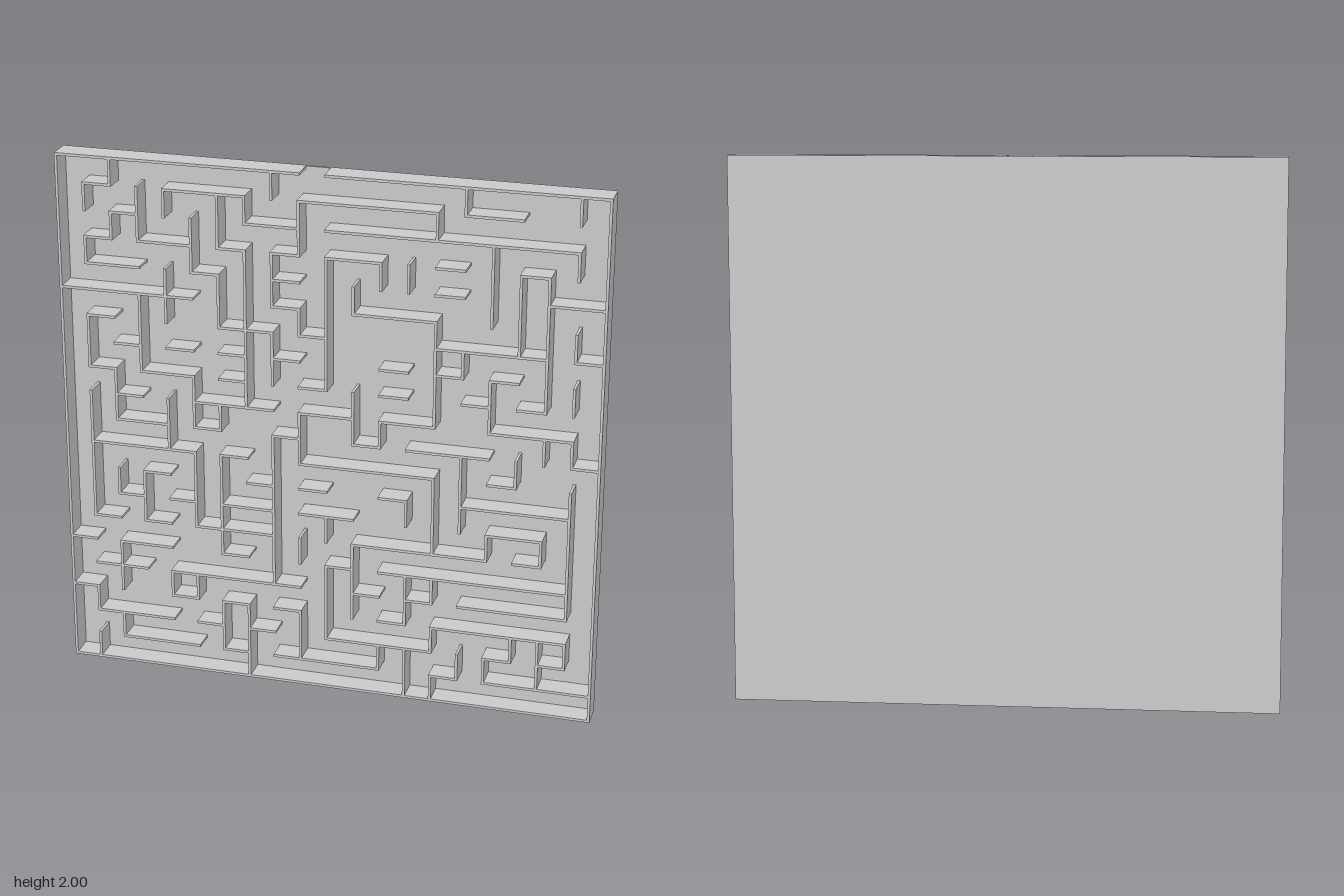
import * as THREE from 'three';

const WALL = 0.01, PITCH = 0.0995, DEPTH = 0.095, PLATE = 0.01;

// Wall runs on a 20 x 20 grid. Row lists: level -> [from, to] columns, counted from left and bottom.
const ROWS = {
  0: [[0, 20]],
  1: [[2, 5], [6, 7], [8, 12], [14, 15], [16, 20]],
  2: [[1, 4], [5, 6], [7, 8], [10, 14], [16, 17], [18, 19]],
  3: [[0, 1], [4, 5], [6, 7], [8, 9], [12, 13], [14, 19]],
  4: [[1, 3], [4, 9], [11, 12], [13, 14], [15, 19]],
  5: [[0, 1], [2, 4], [6, 7], [10, 11], [12, 19]],
  6: [[1, 2], [3, 4], [5, 8], [11, 16], [17, 18]],
  7: [[2, 3], [4, 5], [6, 8], [9, 11], [16, 18]],
  8: [[3, 4], [7, 8], [9, 10], [12, 13], [15, 19]],
  9: [[1, 5], [6, 7], [9, 14], [16, 17]],
  10: [[2, 4], [5, 6], [8, 9], [11, 12], [13, 16], [19, 20]],
  11: [[2, 3], [5, 8], [9, 11], [12, 14], [16, 19]],
  12: [[1, 2], [3, 5], [6, 7], [9, 10], [12, 13], [15, 16], [17, 18]],
  13: [[2, 3], [4, 5], [6, 7], [8, 9], [12, 13], [14, 15], [16, 17]],
  14: [[1, 2], [6, 8], [9, 10], [14, 18], [19, 20]],
  15: [[0, 5], [8, 9], [11, 14]],
  16: [[1, 3], [5, 6], [8, 9], [14, 15], [18, 20]],
  17: [[1, 2], [3, 5], [6, 7], [8, 9], [10, 12], [14, 15], [17, 18]],
  18: [[2, 3], [7, 9], [10, 19]],
  19: [[1, 2], [4, 7], [9, 14], [15, 17]],
  20: [[0, 9], [10, 20]], // opening in the top border
};

// Column lists: column -> [from, to] levels.
const COLUMNS = {
  0: [[0, 20]],
  1: [[0, 1], [2, 3], [6, 11], [12, 14], [16, 17], [18, 19]],
  2: [[1, 2], [3, 5], [7, 8], [10, 12], [17, 18], [19, 20]],
  3: [[6, 8], [12, 15], [17, 19]],
  4: [[3, 4], [9, 11], [14, 16], [18, 19]],
  5: [[3, 4], [6, 9], [10, 12], [16, 18]],
  6: [[1, 3], [5, 9], [10, 11], [14, 16], [17, 19]],
  7: [[0, 3], [11, 14], [14, 17], [18, 19]],
  8: [[4, 10], [12, 14], [15, 17], [19, 20]],
  9: [[1, 3], [5, 6], [9, 11], [14, 15], [17, 19]],
  10: [[2, 5], [6, 7], [12, 17]],
  11: [[3, 6], [10, 12], [15, 16]],
  12: [[1, 2], [10, 11], [16, 17]],
  13: [[0, 2], [3, 5], [7, 8], [16, 17]],
  14: [[0, 1], [2, 3], [4, 5], [6, 9], [11, 15], [18, 19]],
  15: [[1, 2], [7, 10], [13, 14], [19, 20]],
  16: [[1, 2], [6, 7], [11, 13], [15, 18]],
  17: [[2, 3], [9, 10], [14, 17]],
  18: [[1, 3], [6, 7], [10, 11], [12, 14], [14, 17]],
  19: [[2, 3], [4, 9], [10, 11], [12, 13], [14, 15], [17, 18], [19, 20]],
  20: [[0, 20]],
};

export function createModel() {
  const model = new THREE.Group();
  model.name = 'maze';
  const material = new THREE.MeshStandardMaterial({ color: 0xcccccc, flatShading: true });

  // Thin back plate
  const plate = new THREE.Mesh(new THREE.BoxGeometry(2, 2, PLATE), material);
  plate.name = 'backPlate';
  plate.position.set(0, 1, -DEPTH / 2 + PLATE / 2);
  model.add(plate);

  const border = new THREE.Group();
  border.name = 'border';
  const walls = new THREE.Group();
  walls.name = 'innerWalls';
  model.add(border, walls);

  // Straight walls standing on the plate
  const height = DEPTH - PLATE;
  const at = (i) => WALL / 2 + i * PITCH;
  const addRuns = (table, horizontal) => {
    for (const [key, runs] of Object.entries(table)) {
      const line = Number(key);
      for (const [from, to] of runs) {
        const length = (to - from) * PITCH + WALL;
        const middle = at((from + to) / 2);
        const size = horizontal ? [length, WALL] : [WALL, length];
        const [x, y] = horizontal ? [middle, at(line)] : [at(line), middle];
        const wall = new THREE.Mesh(new THREE.BoxGeometry(...size, height), material);
        wall.name = horizontal ? 'horizontalWall' : 'verticalWall';
        wall.position.set(x - 1, y, PLATE / 2);
        (line % 20 === 0 ? border : walls).add(wall);
      }
    }
  };
  addRuns(ROWS, true);
  addRuns(COLUMNS, false);
  return model;
}
